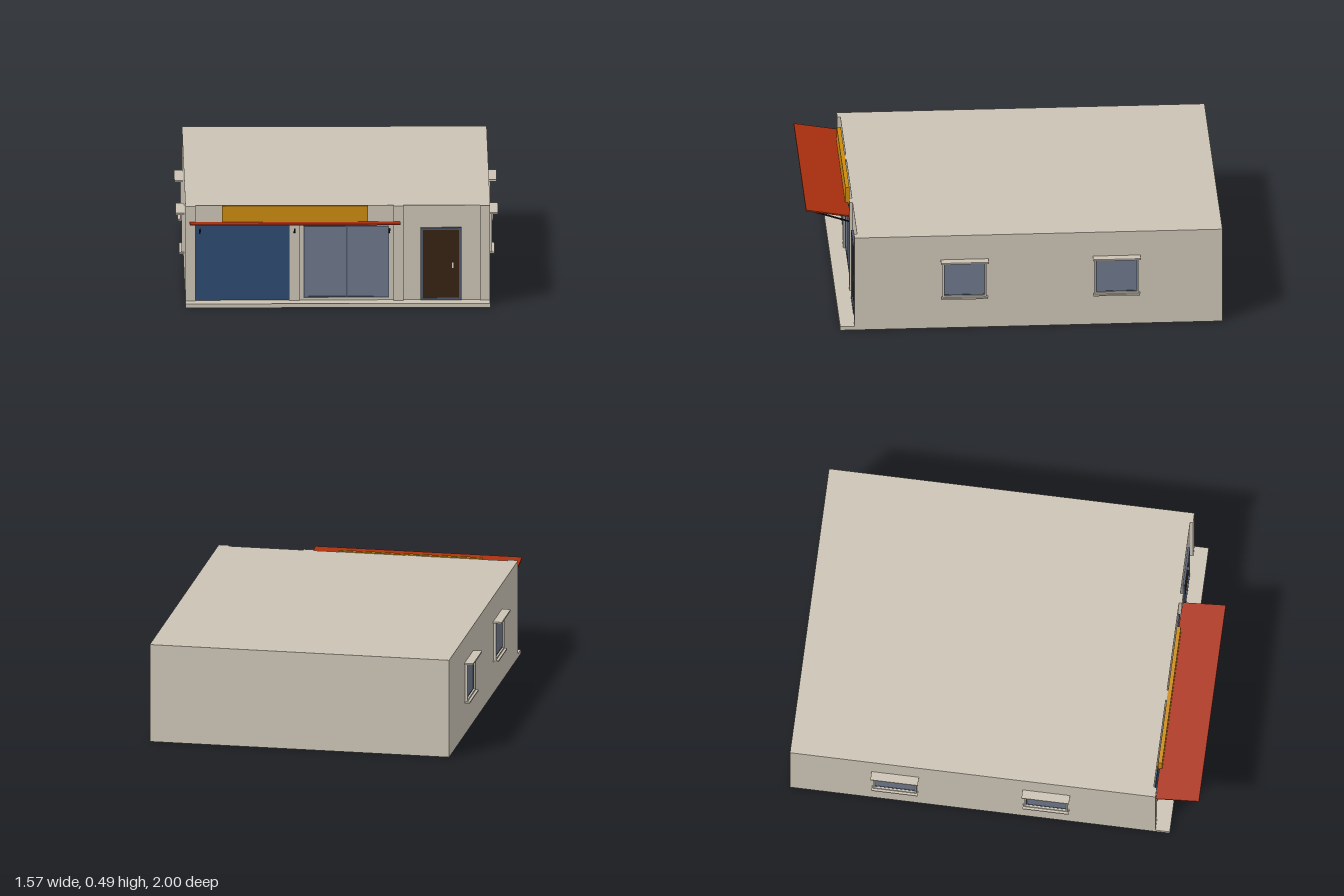
import * as THREE from 'three';

const mat = (name, color, side = THREE.FrontSide) => {
  const m = new THREE.MeshStandardMaterial({ color, side });
  m.name = name;
  return m;
};

export function createModel() {
  const M = {
    shell: mat('plaster shell', 0xcbc3b5, THREE.DoubleSide),
    blue: mat('shutter blue', 0x2c4a70, THREE.DoubleSide),
    glass: mat('glass grey', 0x6d778a),
    frame: mat('frame slate', 0x4d586b),
    wood: mat('door brown', 0x35210f),
    red: mat('awning red', 0xaa2e0d),
    yellow: mat('sign yellow', 0xcb8a0e),
    black: mat('arm black', 0x17171a),
    handle: mat('handle pale', 0xd8d4cc),
  };
  const model = new THREE.Group();
  model.name = 'shop';

  // Box given by its minimum and maximum on each axis
  const box = (name, m, x0, x1, y0, y1, z0, z1, parent = model) => {
    const mesh = new THREE.Mesh(new THREE.BoxGeometry(x1 - x0, y1 - y0, z1 - z0), m);
    mesh.position.set((x0 + x1) / 2, (y0 + y1) / 2, (z0 + z1) / 2);
    mesh.name = name;
    parent.add(mesh);
    return mesh;
  };

  // Four bars around a rectangle facing +z
  const frame = (name, m, x0, x1, y0, y1, z0, z1, w, parent = model) => {
    const g = new THREE.Group();
    g.name = name;
    box('jamb', m, x0, x0 + w, y0, y1, z0, z1, g);
    box('jamb', m, x1 - w, x1, y0, y1, z0, z1, g);
    box('head', m, x0 + w, x1 - w, y1 - w, y1, z0, z1, g);
    box('base', m, x0 + w, x1 - w, y0, y0 + w, z0, z1, g);
    parent.add(g);
  };

  // Building shell: thin walls around a plan with three recessed front bays, open below
  const H = 0.49, W = 0.74, F = 0.79, R = 0.775;
  const bays = [[-0.69, -0.237], [-0.185, 0.27], [0.32, 0.69]];
  const plan = [[-W, F]];
  for (const [a, b] of bays) plan.push([a, F], [a, R], [b, R], [b, F]);
  plan.push([W, F], [W, -1], [-W, -1]);

  const wallPoints = [];
  plan.forEach(([x0, z0], i) => {
    const [x1, z1] = plan[(i + 1) % plan.length];
    const y = i === 2 ? 0.4 : 0; // the shutter fills the first bay
    wallPoints.push(x0, y, z0, x1, y, z1, x1, H, z1, x0, y, z0, x1, H, z1, x0, H, z0);
  });
  const wallGeo = new THREE.BufferGeometry();
  wallGeo.setAttribute('position', new THREE.Float32BufferAttribute(wallPoints, 3));
  wallGeo.computeVertexNormals();
  const walls = new THREE.Mesh(wallGeo, M.shell);
  walls.name = 'walls';
  model.add(walls);

  const roofShape = new THREE.Shape(plan.map(([x, z]) => new THREE.Vector2(x, -z)));
  const roof = new THREE.Mesh(new THREE.ShapeGeometry(roofShape).rotateX(-Math.PI / 2), M.shell);
  roof.position.y = H;
  roof.name = 'roof';
  model.add(roof);

  // Front step
  box('step', M.shell, -W, W, 0, 0.02, R, 0.86);

  // Shutter
  const [sx0, sx1] = bays[0];
  box('shutter', M.blue, sx0, sx1, 0.02, 0.4, R - 0.002, R + 0.004);

  // Shop window
  box('shopGlass', M.glass, -0.163, 0.247, 0.035, 0.388, R, R + 0.004);
  frame('shopWindowFrame', M.frame, -0.166, 0.25, 0.032, 0.39, R, R + 0.007, 0.007);
  box('mullion', M.frame, 0.039, 0.047, 0.039, 0.383, R, R + 0.007);

  // Entrance door
  box('door', M.wood, 0.415, 0.588, 0.025, 0.37, R, R + 0.005);
  frame('doorFrame', M.frame, 0.403, 0.6, 0.02, 0.38, R, R + 0.012, 0.012);
  box('doorHandle', M.handle, 0.556, 0.562, 0.18, 0.207, R + 0.005, R + 0.011);

  // Sign board
  box('signBoard', M.yellow, -0.563, 0.147, 0.4, 0.493, 0.78, 0.8);

  // Bar of given width and thickness between two points of a side plane
  const slope = (name, m, x0, x1, [za, ya], [zb, yb], t) => {
    const len = Math.hypot(zb - za, yb - ya);
    const mesh = new THREE.Mesh(new THREE.BoxGeometry(x1 - x0, t, len), m);
    mesh.position.set((x0 + x1) / 2, (ya + yb) / 2, (za + zb) / 2);
    mesh.rotation.x = -Math.atan2(yb - ya, zb - za);
    mesh.name = name;
    model.add(mesh);
  };

  // Awning and its arms
  slope('awning', M.red, -0.72, 0.303, [0.787, 0.408], [1, 0.444], 0.007);
  for (const x of [-0.67, -0.21, 0.25])
    slope('awningArm', M.black, x - 0.004, x + 0.004, [0.785, 0.357], [0.948, 0.411], 0.006);

  // Side windows, built facing +z and turned onto each side wall
  for (const side of [-1, 1]) for (const z of [0.255, -0.485]) {
    const g = new THREE.Group();
    g.name = 'sideWindow';
    box('glass', M.glass, -0.1, 0.1, 0.17, 0.353, 0, 0.003, g);
    frame('sash', M.frame, -0.099, 0.099, 0.174, 0.35, 0, 0.005, 0.004, g);
    frame('surround', M.shell, -0.107, 0.107, 0.166, 0.357, 0, 0.014, 0.009, g);
    box('lintel', M.shell, -0.116, 0.116, 0.355, 0.363, 0, 0.043, g);
    box('sill', M.shell, -0.113, 0.113, 0.16, 0.167, 0, 0.026, g);
    g.rotation.y = side * Math.PI / 2;
    g.position.set(side * W, 0, z);
    model.add(g);
  }
  return model;
}
